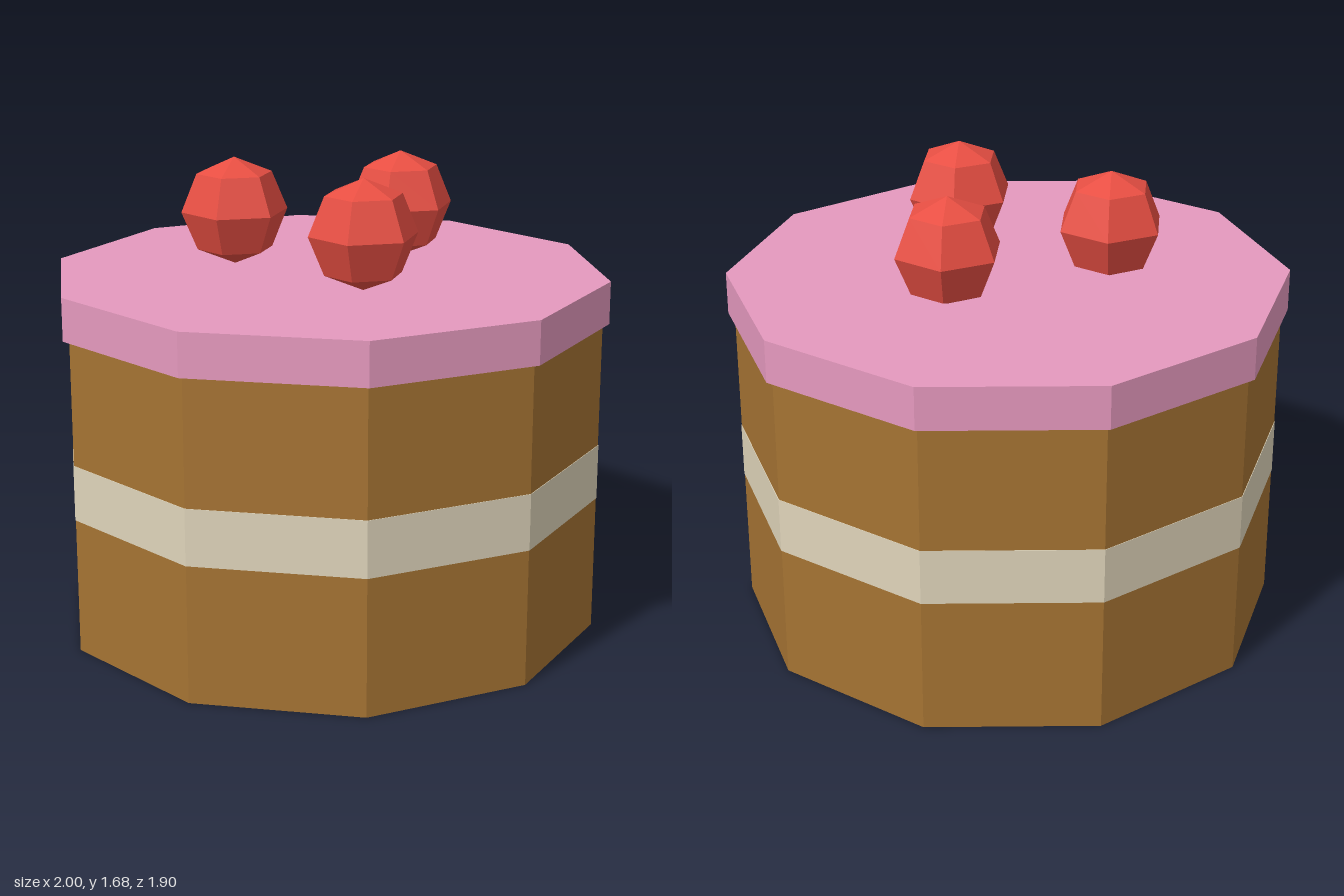
import * as THREE from 'three';

const flat = (name, color) => {
  const m = new THREE.MeshStandardMaterial({ color });
  m.name = name;
  m.flatShading = true;
  return m;
};

export function createModel() {
  const cake = new THREE.Group();
  cake.name = 'cake';

  const sponge = flat('sponge brown', 0xa57333);
  const cream = flat('cream', 0xdfd4ba);
  const icing = flat('pink icing', 0xe599be);
  const red = flat('cherry red', 0xec5044);

  // Ten-sided layers, with a corner pointing along +x
  const layer = (name, radius, bottom, top, material) => {
    const geometry = new THREE.CylinderGeometry(radius, radius, top - bottom, 10, 1, false, Math.PI / 2);
    const mesh = new THREE.Mesh(geometry, material);
    mesh.position.y = (bottom + top) / 2;
    mesh.name = name;
    cake.add(mesh);
  };
  layer('lowerSponge', 0.977, 0, 0.49, sponge);
  layer('creamFilling', 0.979, 0.49, 0.69, cream);
  layer('upperSponge', 0.977, 0.69, 1.14, sponge);
  layer('icingTop', 1, 1.137, 1.29, icing);

  // Three faceted cherries resting on the icing
  const cherryGeometry = new THREE.SphereGeometry(0.194, 6, 4);
  const spots = [[0, -0.356], [-0.312, 0.174], [0.31, 0.132]];
  spots.forEach(([x, z], i) => {
    const cherry = new THREE.Mesh(cherryGeometry, red);
    cherry.position.set(x, 1.485, z);
    cherry.name = `cherry${i + 1}`;
    cake.add(cherry);
  });

  return cake;
}
